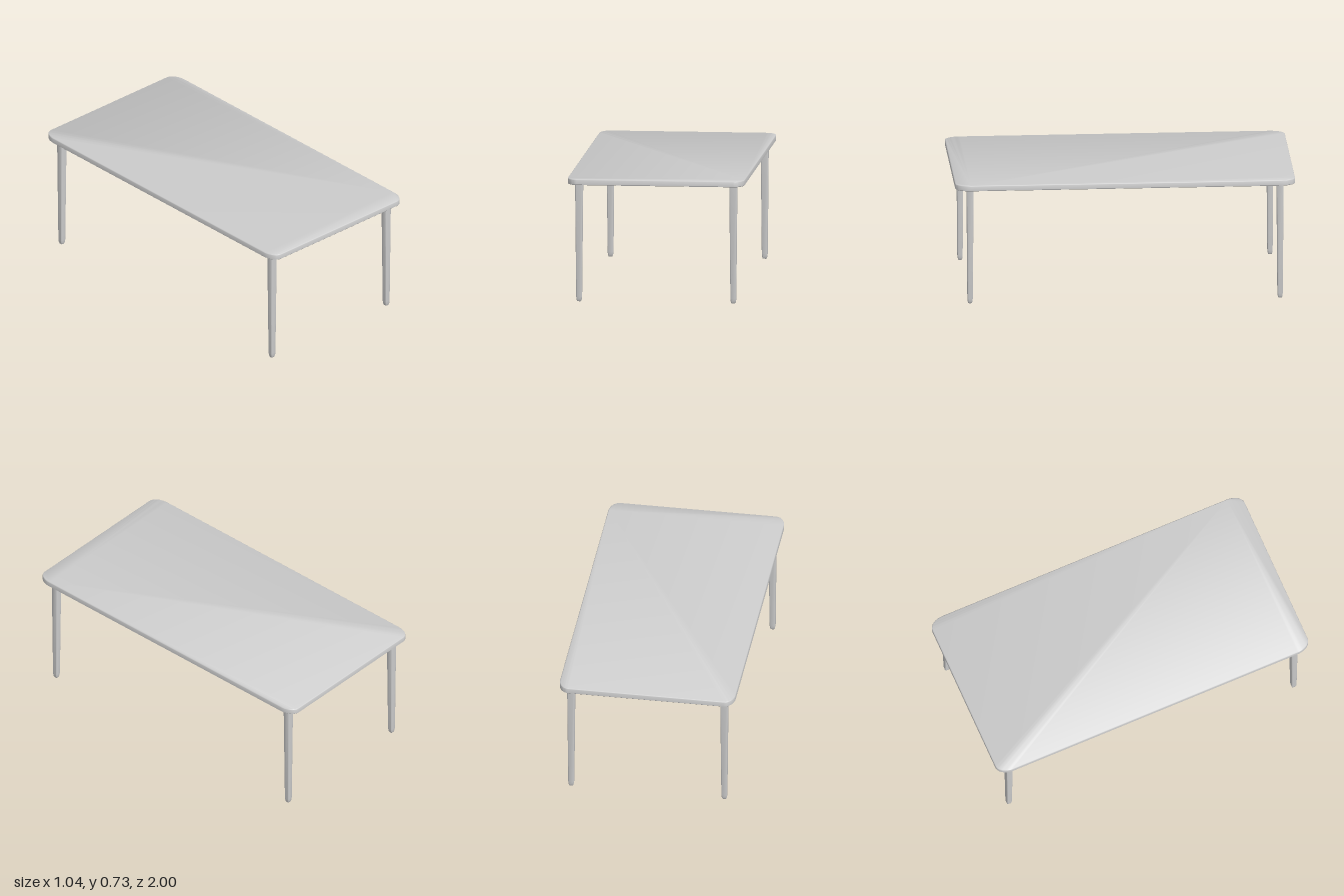
import * as THREE from 'three';
import { toCreasedNormals } from 'three/addons/utils/BufferGeometryUtils.js';

const material = new THREE.MeshStandardMaterial({ color: 0xcccccc });

// Solid lofted through rounded-rectangle rings, bottom to top.
// Each section: [y, half width, half depth, corner radius in x, corner radius in z]
function loft(sections, cornerSteps) {
  const points = [];
  const index = [];
  const n = 4 * (cornerSteps + 1);
  for (const [y, hx, hz, rx, rz] of sections) {
    for (let corner = 0; corner < 4; corner++) {
      const sx = corner === 0 || corner === 3 ? 1 : -1;
      const sz = corner < 2 ? 1 : -1;
      for (let i = 0; i <= cornerSteps; i++) {
        const a = (corner + i / cornerSteps) * Math.PI / 2;
        points.push(sx * (hx - rx) + rx * Math.cos(a), y, sz * (hz - rz) + rz * Math.sin(a));
      }
    }
  }
  for (let s = 0; s < sections.length - 1; s++) {
    for (let i = 0; i < n; i++) {
      const a = s * n + i, b = s * n + (i + 1) % n;
      index.push(a, a + n, b, b, a + n, b + n);
    }
  }
  // End caps
  const last = (sections.length - 1) * n;
  for (let i = 1; i < n - 1; i++) {
    index.push(0, i, i + 1, last, last + i + 1, last + i);
  }
  const geometry = new THREE.BufferGeometry();
  geometry.setAttribute('position', new THREE.Float32BufferAttribute(points, 3));
  geometry.setIndex(index);
  return toCreasedNormals(geometry, 0.6);
}

export function createModel() {
  const table = new THREE.Group();
  table.name = 'table';

  // Thin slab with rounded corners and softened rims
  const top = new THREE.Mesh(loft([
    [0.700, 0.519, 0.997, 0.057, 0.087],
    [0.703, 0.522, 1.000, 0.060, 0.090],
    [0.729, 0.522, 1.000, 0.060, 0.090],
    [0.732, 0.5205, 0.9985, 0.0585, 0.0885],
    [0.734, 0.517, 0.995, 0.055, 0.085],
  ], 10), material);
  top.name = 'tabletop';
  table.add(top);

  // Tapered legs with eased edges and rounded feet
  const legGeometry = loft([
    [0.000, 0.0105, 0.0100, 0.005, 0.005],
    [0.004, 0.0130, 0.0120, 0.006, 0.006],
    [0.012, 0.0150, 0.0140, 0.006, 0.006],
    [0.028, 0.0168, 0.0155, 0.006, 0.006],
    [0.702, 0.0230, 0.0205, 0.007, 0.007],
  ], 4);
  for (const [end, z] of [['front', 0.912], ['back', -0.912]]) {
    for (const [side, x] of [['Left', 0.455], ['Right', -0.455]]) {
      const leg = new THREE.Mesh(legGeometry, material);
      leg.name = `${end}${side}Leg`;
      leg.position.set(x, 0, z);
      table.add(leg);
    }
  }
  return table;
}
